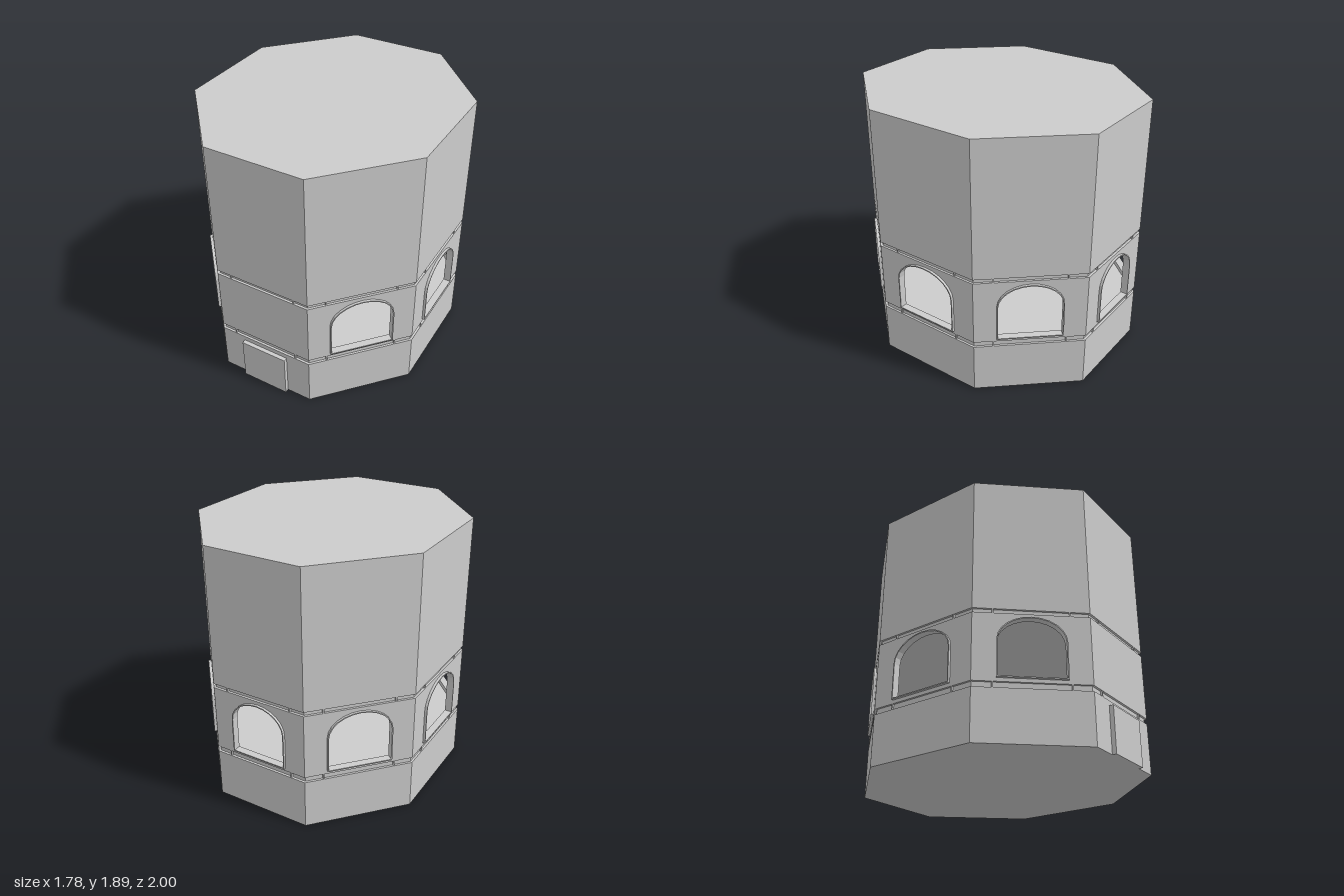
import * as THREE from 'three';

const stone = new THREE.MeshStandardMaterial({ color: 0xcccccc });
stone.name = 'pale stone';

// Plan corners [x, z], running front, left, back, right
const plan = [
  [-0.36, 0.97], [0.36, 0.97], [0.872, 0.403], [0.872, -0.41],
  [0.36, -0.982], [-0.36, -0.982], [-0.872, -0.41], [-0.872, 0.403],
];
const SILL = 0.425, SPRING = 0.68, TOP = 0.85;
const WALL_BASE = 0.40, WALL_TOP = 0.875, WALL = 0.035, FRAME = 0.018;

function add(parent, name, geometry, x = 0, y = 0, z = 0) {
  const mesh = new THREE.Mesh(geometry, stone);
  mesh.name = name;
  mesh.position.set(x, y, z);
  parent.add(mesh);
  return mesh;
}

// Solid eight-sided storey between two heights
function prism(parent, name, y0, y1, scale = 1) {
  const shape = new THREE.Shape(plan.map(([x, z]) => new THREE.Vector2(x * scale, -z * scale)));
  const geometry = new THREE.ExtrudeGeometry(shape, { depth: y1 - y0, bevelEnabled: false });
  geometry.rotateX(-Math.PI / 2);
  add(parent, name, geometry, 0, y0, 0);
}

// Arched window outline, shrunk by an inset
function archPoints(halfWidth, inset) {
  const w = halfWidth - inset, h = TOP - SPRING - inset;
  const points = [new THREE.Vector2(-w, SILL + inset), new THREE.Vector2(w, SILL + inset)];
  for (let i = 0; i <= 12; i++) {
    const a = (i / 12) * Math.PI;
    points.push(new THREE.Vector2(Math.cos(a) * w, SPRING + Math.sin(a) * h));
  }
  return points;
}

export function createModel() {
  const model = new THREE.Group();
  model.name = 'octagonalTower';

  // Storeys and the recessed bands between them
  prism(model, 'lowerStorey', 0, 0.36);
  prism(model, 'lowerGroove', 0.36, WALL_BASE, 0.983);
  prism(model, 'upperGroove', WALL_TOP, 0.905, 0.983);
  prism(model, 'upperStorey', 0.905, 1.89);

  // Window storey: one hollow wall panel per side
  plan.forEach(([x0, z0], i) => {
    const [x1, z1] = plan[(i + 1) % plan.length];
    const length = Math.hypot(x1 - x0, z1 - z0);
    const side = new THREE.Group();
    side.name = `side${i + 1}`;
    side.position.set((x0 + x1) / 2, 0, (z0 + z1) / 2);
    side.rotation.y = Math.atan2(-(z1 - z0), x1 - x0);
    model.add(side);

    const half = length / 2;
    const wall = new THREE.Shape([
      new THREE.Vector2(-half, WALL_BASE), new THREE.Vector2(half, WALL_BASE),
      new THREE.Vector2(half, WALL_TOP), new THREE.Vector2(-half, WALL_TOP),
    ]);

    // Every side but the front has an arched window with a thin frame
    if (i > 0) {
      const halfWidth = i % 2 ? 0.228 : i === 4 ? 0.21 : 0.24;
      const opening = archPoints(halfWidth, 0.008);
      wall.holes.push(new THREE.Path(opening));
      const frame = new THREE.Shape(archPoints(halfWidth, 0));
      frame.holes.push(new THREE.Path(opening));
      add(side, 'windowFrame',
        new THREE.ExtrudeGeometry(frame, { depth: FRAME, bevelEnabled: false }));
    }
    add(side, 'wallPanel',
      new THREE.ExtrudeGeometry(wall, { depth: WALL, bevelEnabled: false }), 0, 0, -WALL);

    // Small spacers in the grooves
    for (const x of [-0.25, 0.25]) {
      add(side, 'lowerSpacer', new THREE.BoxGeometry(0.01, 0.04, 0.03), x, 0.38, -0.017);
      add(side, 'upperSpacer', new THREE.BoxGeometry(0.01, 0.03, 0.03), x, 0.89, -0.017);
    }
  });

  // Front door slab
  add(model, 'door', new THREE.BoxGeometry(0.355, 0.325, 0.04), 0, 0.1625, 0.98);
  return model;
}
